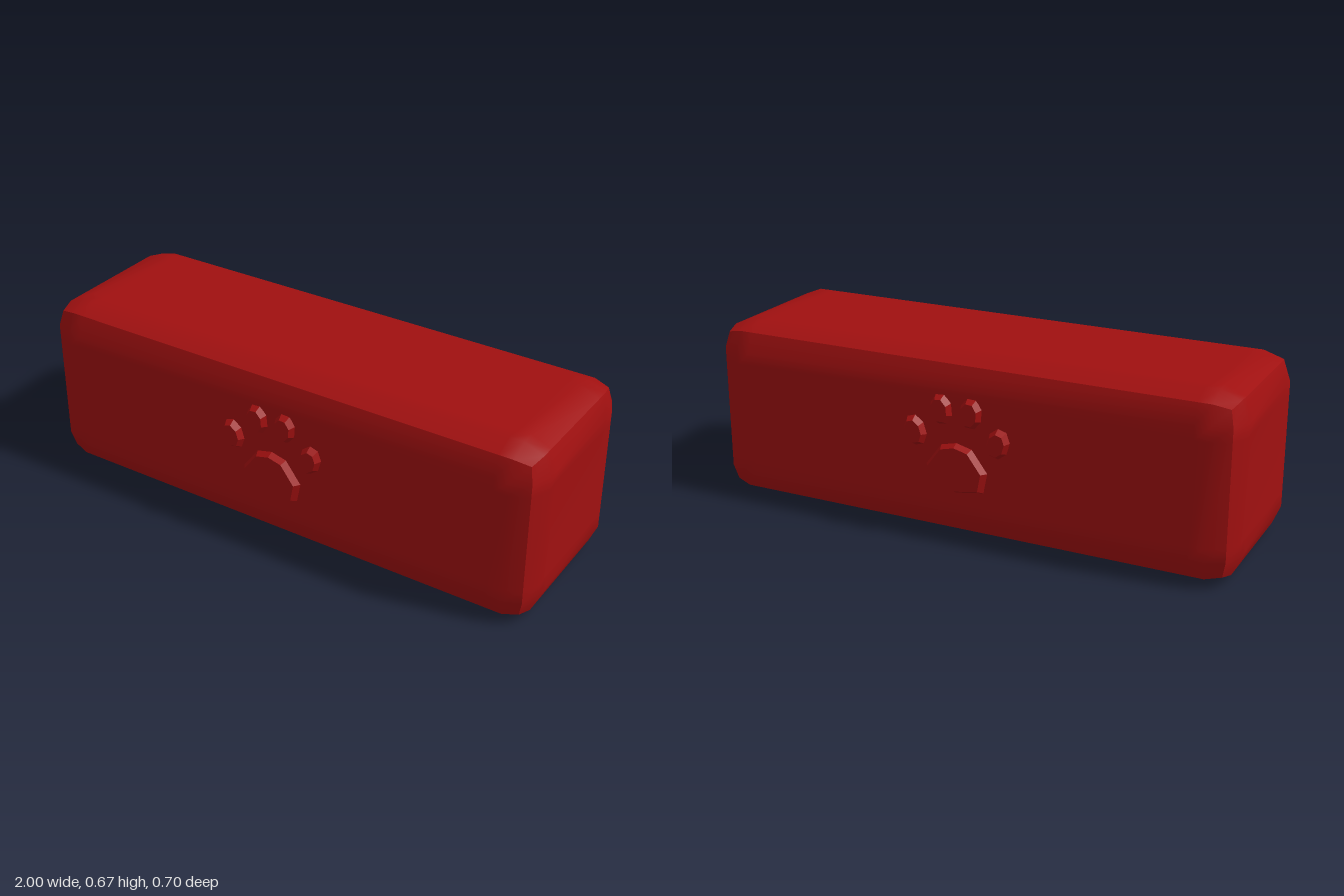
import * as THREE from 'three';

const red = new THREE.MeshStandardMaterial({ color: 0xa01010 });
red.name = 'deep red';

const HALF = [1, 0.333, 0.333]; // half extents of the block
const RADIUS = 0.1;             // edge rounding
const RIM = 0.15;               // width of the raised border on each face
const DISH = 0.006;             // depth of the shallow panel

// Rounded block: each face has a rounded edge, a border and a slightly sunken panel
function blockGeometry() {
  const g = new THREE.BoxGeometry(1, 1, 1, 5, 5, 5);
  const pos = g.attributes.position;
  for (let i = 0; i < pos.count; i++) {
    const p = [pos.getX(i), pos.getY(i), pos.getZ(i)];
    const n = p.map(c => (Math.abs(c) > 0.4 ? Math.sign(c) : 0));
    const len = Math.hypot(...n);
    const sunken = p.filter(c => Math.abs(c) < 0.2).length === 2;
    const q = p.map((c, k) => {
      const inset = Math.abs(c) < 0.2 ? RIM : RADIUS;
      return Math.sign(c) * (HALF[k] - inset) + (n[k] / len) * RADIUS - (sunken ? n[k] * DISH : 0);
    });
    pos.setXYZ(i, ...q);
  }
  g.computeVertexNormals();
  return g;
}

// Faceted raised pad whose top outline is smaller than its base
function padGeometry(points, topScale) {
  const shape = new THREE.Shape(points.map(([x, y]) => new THREE.Vector2(x, y)));
  const g = new THREE.ExtrudeGeometry(shape, { depth: 0.025, bevelEnabled: false });
  const pos = g.attributes.position;
  for (let i = 0; i < pos.count; i++) {
    if (pos.getZ(i) > 0.01) pos.setXY(i, pos.getX(i) * topScale, pos.getY(i) * topScale);
  }
  g.computeVertexNormals();
  return g;
}

function createPaw(name) {
  const paw = new THREE.Group();
  paw.name = name;

  // Large pad
  const outline = [
    [-0.105, -0.08], [0, -0.097], [0.105, -0.08], [0.12, -0.005],
    [0.06, 0.075], [0, 0.09], [-0.06, 0.075], [-0.12, -0.005],
  ];
  const pad = new THREE.Mesh(padGeometry(outline, 0.86), red);
  pad.name = 'mainPad';
  pad.position.set(0, 0.272, 0.325);
  paw.add(pad);

  // Four oval toes
  const oval = [];
  for (let i = 0; i < 8; i++) {
    const a = ((i + 0.5) / 8) * Math.PI * 2;
    oval.push([Math.cos(a) * 0.044, Math.sin(a) * 0.059]);
  }
  const toeGeometry = padGeometry(oval, 0.72);
  for (const [x, y, tilt] of [[0.16, 0.384, 0.3], [0.057, 0.477, 0.08]]) {
    for (const side of [-1, 1]) {
      const toe = new THREE.Mesh(toeGeometry, red);
      toe.name = side > 0 ? 'leftToe' : 'rightToe';
      toe.position.set(side * x, y, 0.325);
      toe.rotation.z = -side * tilt;
      paw.add(toe);
    }
  }
  return paw;
}

export function createModel() {
  const model = new THREE.Group();
  model.name = 'block';

  const body = new THREE.Mesh(blockGeometry(), red);
  body.name = 'body';
  body.position.y = HALF[1];
  model.add(body);

  // Paw reliefs on both long sides
  const back = createPaw('backPaw');
  back.rotation.y = Math.PI;
  model.add(createPaw('frontPaw'), back);
  return model;
}
